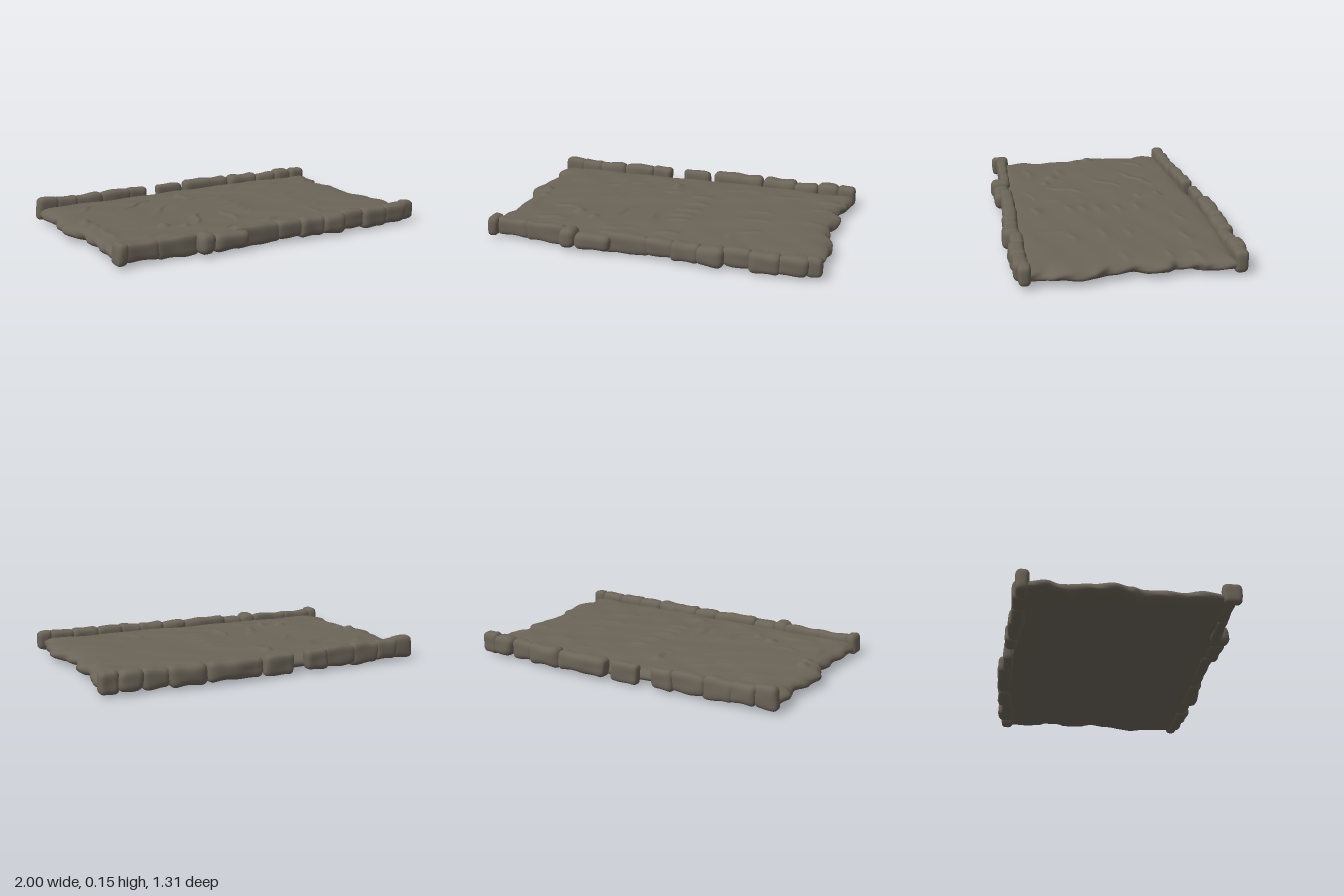
import * as THREE from 'three';
import { mergeVertices } from 'three/addons/utils/BufferGeometryUtils.js';

// Piecewise linear lookup through [position, value] pairs, eased between points
function lookup(points, t) {
  if (t <= points[0][0]) return points[0][1];
  for (let i = 1; i < points.length; i++) {
    const [b, vb] = points[i], [a, va] = points[i - 1];
    if (t <= b) return va + (vb - va) * THREE.MathUtils.smoothstep(t, a, b);
  }
  return points[points.length - 1][1];
}

// Worn outline of the paving
const leftEdge = [[-0.54, -0.98], [-0.45, -0.99], [-0.38, -0.97], [-0.3, -0.96], [-0.2, -0.985], [-0.08, -1],
  [0.02, -0.97], [0.09, -0.935], [0.2, -0.95], [0.3, -0.94], [0.4, -0.96], [0.56, -0.95]];
const rightEdge = [[-0.54, 0.97], [-0.4, 0.965], [-0.35, 0.925], [-0.25, 0.925], [-0.2, 0.96], [-0.1, 0.95],
  [-0.02, 0.925], [0.1, 0.945], [0.2, 0.98], [0.3, 0.995], [0.4, 0.98], [0.46, 0.96], [0.56, 0.97]];
const backEdge = [[-1, -0.54], [-0.6, -0.555], [-0.25, -0.565], [0, -0.59], [0.4, -0.6], [1, -0.57]];
const frontEdge = [[-1, 0.56], [0, 0.58], [1, 0.57]];

// Chipped ledges on the top: x, z, direction in degrees, half length, height
const ledges = [
  [-0.45, -0.28, -35, 0.18, 0.014], [-0.75, -0.32, -45, 0.1, 0.01], [-0.38, -0.08, -50, 0.13, 0.01],
  [-0.28, 0.2, -65, 0.14, 0.016], [-0.09, 0.22, 90, 0.14, 0.014], [-0.12, -0.32, 80, 0.07, 0.012],
  [-0.1, -0.23, 0, 0.06, 0.012], [0.1, -0.19, 5, 0.08, 0.01], [0.1, -0.07, 0, 0.08, 0.012],
  [0.09, 0.05, 0, 0.09, 0.012], [0.08, 0.14, 0, 0.08, 0.012], [0.08, 0.22, 0, 0.08, 0.01],
  [0.08, 0.42, 0, 0.07, 0.014], [0.5, -0.06, 0, 0.09, 0.008], [0.5, 0.08, 0, 0.12, 0.008],
  [0.42, 0.35, 90, 0.09, 0.01], [0.52, 0.26, -10, 0.1, 0.008], [0.6, -0.36, -10, 0.12, 0.008],
  [0.86, -0.36, 0, 0.07, 0.012], [0.85, -0.22, 0, 0.07, 0.01], [0.84, 0.02, 0, 0.08, 0.008],
  [-0.65, 0.2, 5, 0.1, 0.01], [-0.66, 0.4, -5, 0.12, 0.01], [-0.2, 0.42, -15, 0.12, 0.008],
  [0.3, -0.4, -8, 0.12, 0.008], [-0.86, 0.25, 90, 0.14, 0.01],
].map(([x, z, deg, len, h]) => {
  const a = THREE.MathUtils.degToRad(deg);
  return { x, z, c: Math.cos(a), s: Math.sin(a), len, h };
});
// Loose lumps: x, z, radius, height
const lumps = [[-0.88, -0.03, 0.035, 0.02], [-0.53, 0.26, 0.04, 0.018], [-0.42, 0.31, 0.03, 0.016],
  [-0.86, 0.06, 0.03, 0.012], [-0.12, -0.36, 0.03, 0.012]];

function topHeight(x, z) {
  let y = 0.1 - 0.006 * (z / 0.5) ** 2
    + 0.003 * Math.sin(7 * x + 4 * z) * Math.sin(9 * z - 3 * x)
    + 0.0016 * Math.sin(19 * x - 13 * z + 2 * Math.sin(8 * z)) + 0.0012 * Math.sin(31 * z + 11 * x);
  for (const l of ledges) {
    const along = (x - l.x) * l.c + (z - l.z) * l.s;
    const across = -(x - l.x) * l.s + (z - l.z) * l.c + 0.008 * Math.sin(along * 40);
    const fade = Math.max(0, 1 - (along / l.len) ** 2);
    // steep on one side, a long slope on the other
    if (across > -0.07 && across < 0.012) {
      y += l.h * fade * (across < 0 ? (1 + across / 0.07) ** 2 : 1 - across / 0.012);
    }
  }
  for (const [lx, lz, r, h] of lumps) {
    y += h * Math.max(0, 1 - ((x - lx) ** 2 + (z - lz) ** 2) / (r * r));
  }
  return y;
}

// Box whose vertices are moved by a rule, welded and smooth
function shapedBox(nx, ny, nz, rule) {
  let geo = new THREE.BoxGeometry(2, 2, 2, nx, ny, nz);
  geo.deleteAttribute('normal');
  geo.deleteAttribute('uv');
  geo = mergeVertices(geo);
  const pos = geo.attributes.position;
  const v = new THREE.Vector3();
  for (let i = 0; i < pos.count; i++) {
    rule(v.fromBufferAttribute(pos, i));
    pos.setXYZ(i, v.x, v.y, v.z);
  }
  geo.computeVertexNormals();
  return geo;
}

function slabGeometry() {
  return shapedBox(150, 6, 100, (v) => {
    const { x: u, y: h, z: w } = v;
    const z0 = w * 0.57;
    // sides bulge at mid height and tuck in under the slab
    const inset = h > 0 ? 0.02 * h ** 3 : 0.06 * Math.abs(h) ** 2.5;
    const wobble = 0.006 * Math.sin(z0 * 34 + h * 2);
    const x0 = lookup(leftEdge, z0) + inset + wobble;
    const x1 = lookup(rightEdge, z0) - inset + wobble;
    v.x = x0 + (x1 - x0) * (u + 1) / 2;
    const back = lookup(backEdge, v.x) + inset, front = lookup(frontEdge, v.x) - inset;
    v.z = back + (front - back) * (w + 1) / 2;
    const rim = Math.max(Math.abs(u), Math.abs(w)) ** 24;
    const top = topHeight(v.x, v.z) - 0.014 * rim;
    const bottom = 0.008 + 0.012 * rim + 0.003 * Math.sin(9 * v.x + 5 * v.z) * Math.sin(11 * v.z);
    v.y = bottom + (top - bottom) * (h + 1) / 2;
  });
}

// Rounded, dented kerb stone spanning the given ranges
function stoneGeometry(x0, x1, y0, y1, z0, z1, seed) {
  const half = new THREE.Vector3(x1 - x0, y1 - y0, z1 - z0).multiplyScalar(0.5);
  const r = Math.min(half.x, half.y, half.z) * 0.75;
  const core = half.clone().subScalar(r);
  const inner = new THREE.Vector3();
  return shapedBox(12, 8, 8, (v) => {
    v.multiply(half);
    inner.copy(v).clamp(core.clone().negate(), core);
    v.sub(inner).normalize().multiplyScalar(r).add(inner);
    const dent = 1 + 0.05 * Math.sin(v.x * 38 + seed * 2.1) + 0.04 * Math.sin(v.y * 50 + v.x * 20 + seed);
    v.y *= dent;
    v.z *= dent;
    v.x += 0.1 * v.y * Math.sin(seed * 1.7);
    v.add(inner.set((x0 + x1) / 2, (y0 + y1) / 2, (z0 + z1) / 2));
  });
}

// Kerb stones: left x, right x, outer z, inner z, top y
const backStones = [
  [-0.985, -0.85, -0.575, -0.505, 0.15], [-0.87, -0.72, -0.59, -0.51, 0.142], [-0.74, -0.55, -0.59, -0.515, 0.138],
  [-0.57, -0.36, -0.605, -0.53, 0.138], [-0.38, -0.24, -0.62, -0.545, 0.134], [-0.155, 0.025, -0.625, -0.565, 0.13],
  [0.05, 0.38, -0.655, -0.565, 0.135], [0.38, 0.6, -0.65, -0.555, 0.135], [0.59, 0.745, -0.625, -0.545, 0.13],
  [0.74, 0.88, -0.645, -0.55, 0.138], [0.87, 0.98, -0.625, -0.545, 0.138],
];
const frontStones = [
  [-0.965, -0.9, 0.615, 0.515, 0.135], [-0.92, -0.71, 0.59, 0.525, 0.125], [-0.73, -0.48, 0.59, 0.53, 0.125],
  [-0.5, -0.4, 0.65, 0.53, 0.13], [-0.41, -0.19, 0.64, 0.54, 0.115], [-0.27, 0.03, 0.605, 0.53, 0.13],
  [0.01, 0.18, 0.61, 0.53, 0.128], [0.16, 0.33, 0.62, 0.535, 0.13], [0.31, 0.47, 0.635, 0.535, 0.13],
  [0.45, 0.62, 0.605, 0.525, 0.132], [0.6, 0.78, 0.62, 0.53, 0.13], [0.76, 0.93, 0.61, 0.53, 0.13],
  [0.91, 0.998, 0.59, 0.525, 0.135],
];

export function createModel() {
  const model = new THREE.Group();
  model.name = 'stonePath';
  const stone = new THREE.MeshStandardMaterial({ color: 0x6b6458 });
  stone.name = 'greyBrownStone';

  const slab = new THREE.Mesh(slabGeometry(), stone);
  slab.name = 'pavingSlab';
  model.add(slab);

  for (const [name, row] of [['backKerb', backStones], ['frontKerb', frontStones]]) {
    const kerb = new THREE.Group();
    kerb.name = name;
    row.forEach(([x0, x1, outer, inner, top], i) => {
      const bottom = 0.018 + 0.006 * Math.sin(i * 2.3);
      const geo = stoneGeometry(x0, x1, bottom, top, Math.min(outer, inner), Math.max(outer, inner), i + 1);
      const mesh = new THREE.Mesh(geo, stone);
      mesh.name = `${name}Stone${i + 1}`;
      kerb.add(mesh);
    });
    model.add(kerb);
  }

  // Stand the lowest point on the ground
  model.position.y = -new THREE.Box3().setFromObject(model).min.y;
  return model;
}
